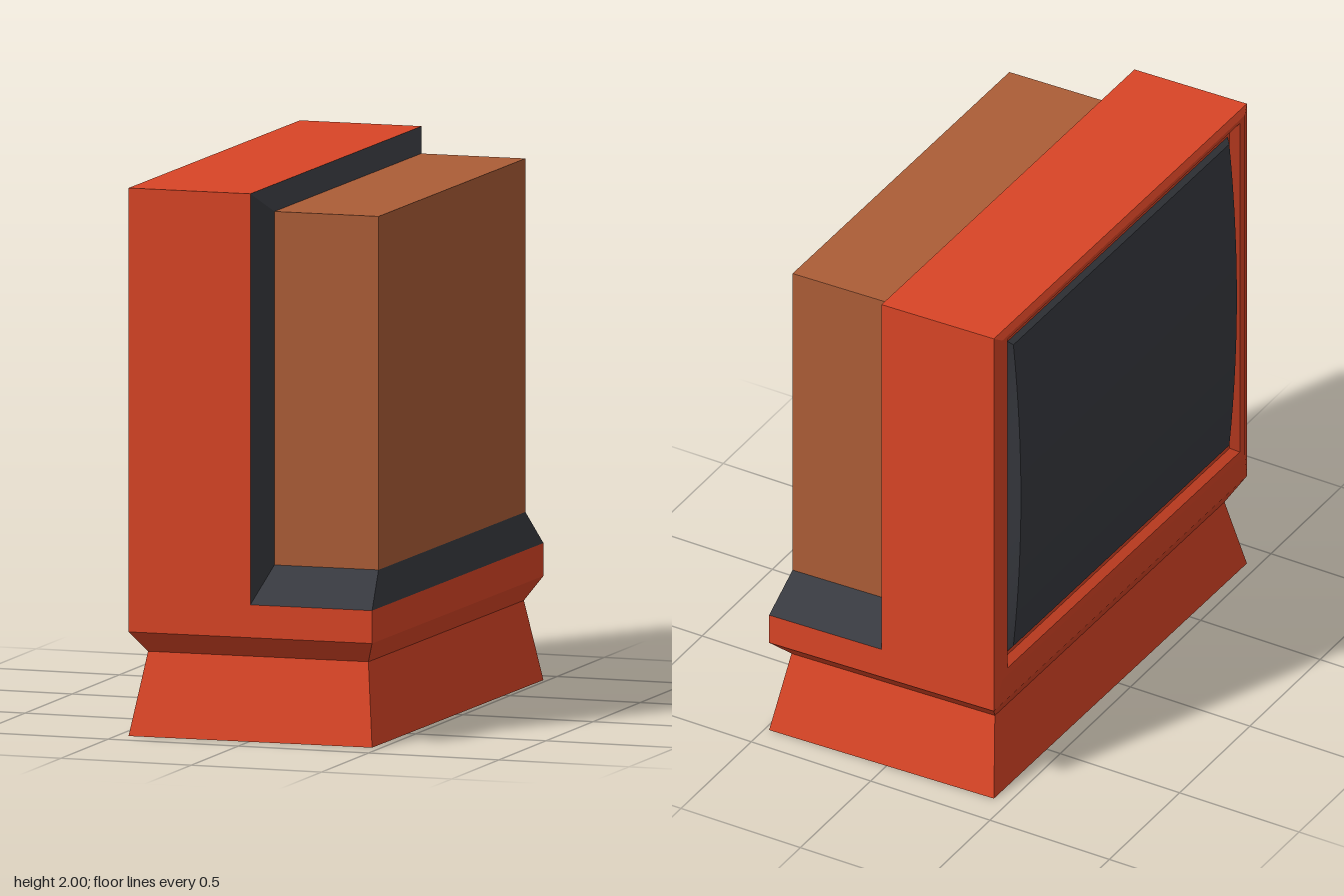
import * as THREE from 'three';

const red = new THREE.MeshStandardMaterial({ name: 'red plastic', color: 0xd94526 });
const brown = new THREE.MeshStandardMaterial({ name: 'brown back', color: 0xac5d37 });
const dark = new THREE.MeshStandardMaterial({ name: 'dark grey', color: 0x383a40 });

// The whole set stands slightly skewed on its base
const skew = new THREE.Matrix4().set(
  1, 0, -0.009, 0.013,
  0, 1, 0, 0,
  -0.032, 0, 1, 0,
  0, 0, 0, 1);

// Flat-sided loft through rectangles [position, low, high, half depth in z].
// axis 'y': low/high are x; axis 'x': low/high are y.
function loft(axis, sections) {
  const rings = sections.map(([p, lo, hi, w]) =>
    [[lo, -w], [hi, -w], [hi, w], [lo, w]].map(([a, z]) => (axis === 'y' ? [a, p, z] : [p, a, z])));
  const pos = [];
  const tri = (a, b, c) => pos.push(...(axis === 'y' ? [a, c, b] : [a, b, c]).flat());
  const quad = (a, b, c, d) => { tri(a, b, c); tri(a, c, d); };
  for (let s = 0; s < rings.length - 1; s++) {
    for (let i = 0; i < 4; i++) {
      const j = (i + 1) % 4;
      quad(rings[s][i], rings[s][j], rings[s + 1][j], rings[s + 1][i]);
    }
  }
  const [a, b, c, d] = rings[0];
  quad(d, c, b, a);
  quad(...rings[rings.length - 1]);
  const geo = new THREE.BufferGeometry();
  geo.setAttribute('position', new THREE.Float32BufferAttribute(pos, 3));
  return geo;
}

// Domed screen: curved vertically, with narrow sloping borders
function screenGeometry() {
  const geo = new THREE.BoxGeometry(2, 2, 2, 1, 14, 1);
  const p = geo.attributes.position;
  for (let i = 0; i < p.count; i++) {
    const front = p.getX(i) < 0;
    const t = p.getY(i);
    p.setXYZ(i,
      front ? -0.466 - 0.031 * (1 - t * t) : -0.44,
      1.245 + t * (front ? 0.655 : 0.685),
      p.getZ(i) * (front ? 0.757 : 0.78));
  }
  return geo;
}

export function createModel() {
  const group = new THREE.Group();
  group.name = 'television';
  const add = (name, geo, material) => {
    geo.applyMatrix4(skew);
    geo.computeVertexNormals();
    const mesh = new THREE.Mesh(geo, material);
    mesh.name = name;
    group.add(mesh);
  };

  // Flared foot, waist and ledge
  add('base', loft('y', [
    [0, -0.462, 0.462, 0.887],
    [0.3, -0.418, 0.418, 0.805],
    [0.38, -0.462, 0.462, 0.887],
    [0.5, -0.462, 0.462, 0.887],
  ]), red);

  // Cabinet with raised bezel and recess around the screen
  add('cabinet', loft('x', [
    [-0.45, 0.555, 1.935, 0.787],
    [-0.475, 0.53, 1.96, 0.815],
    [-0.475, 0.5, 1.975, 0.85],
    [-0.462, 0.38, 2, 0.887],
    [0, 0.38, 2, 0.887],
  ]), red);
  add('screen', screenGeometry(), dark);

  // Dark sloping trim between the cabinet, the ledge and the rear housing
  add('rearTrim', loft('x', [
    [0, 0.5, 2, 0.887],
    [0.045, 0.63, 1.92, 0.76],
  ]), dark);
  add('ledgeTrim', loft('y', [
    [0.5, 0, 0.462, 0.887],
    [0.63, 0.045, 0.44, 0.76],
  ]), dark);

  add('rearHousing', loft('x', [
    [0.045, 0.63, 1.92, 0.76],
    [0.44, 0.63, 1.92, 0.76],
  ]), brown);

  return group;
}
